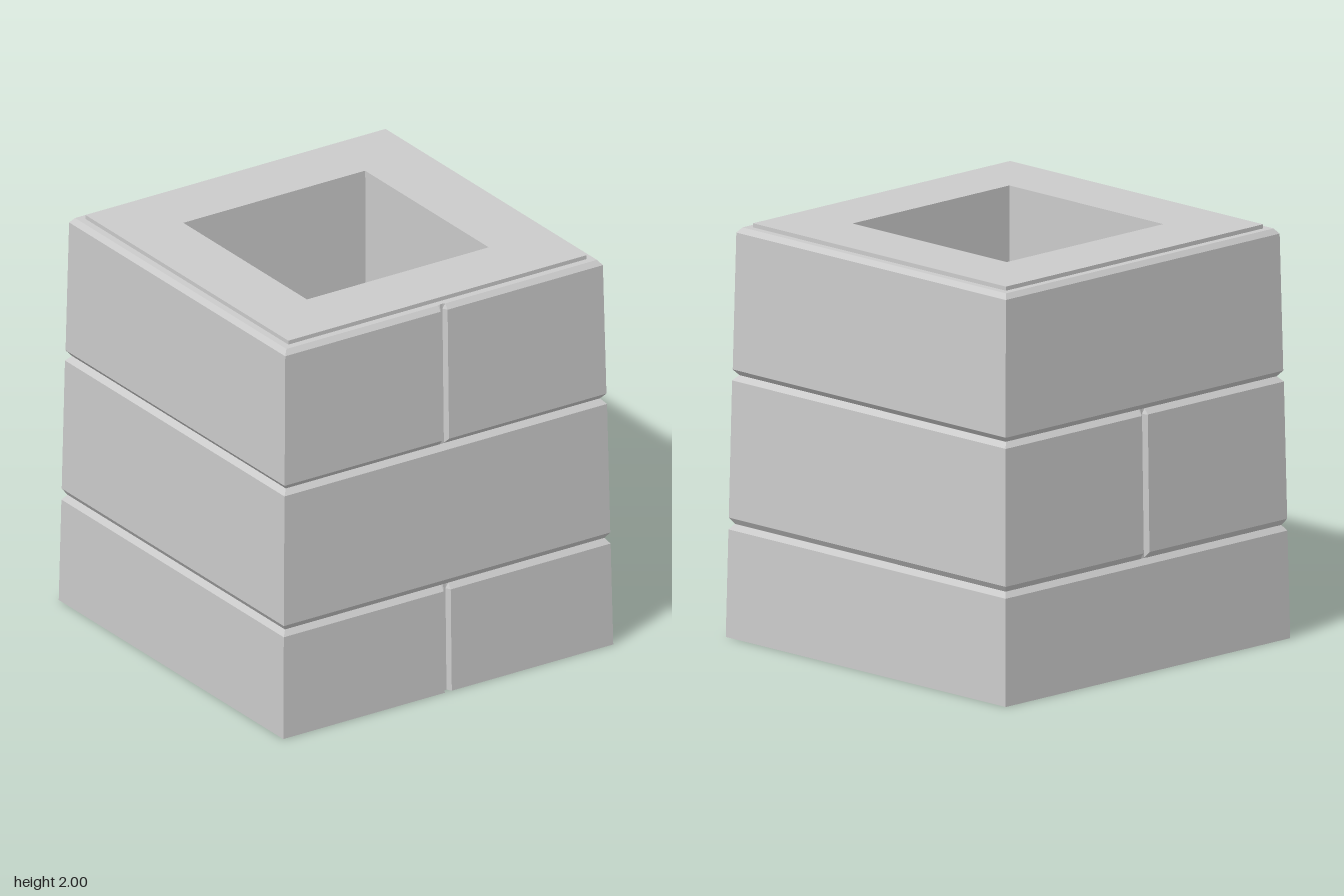
import * as THREE from 'three';

const material = new THREE.MeshStandardMaterial({ color: 0xcccccc, flatShading: true, side: THREE.DoubleSide });

// Half-width of the slightly tapering block faces at height y, and the joint's size
const face = (y) => 0.935 - 0.0175 * y;
const JOINT_DEPTH = 0.025;

// Square outline at one height; side 1 notches the front, -1 the back, 0 neither
function outline(y, h, side) {
  const d = Math.min(h, face(y) - JOINT_DEPTH);
  const notch = (s) => [[-0.02, h], [-0.007, d], [0.007, d], [0.02, h]].map(([x, z]) => [x * s, z * s]);
  return [
    [-h, h], ...(side === 1 ? notch(1) : []), [h, h],
    [h, -h], ...(side === -1 ? notch(-1) : []), [-h, -h],
  ].map(([x, z]) => [x, y, z]);
}

// Skin a stack of outlines given as [height, half-width]
function loft(name, levels, side = 0) {
  const rings = levels.map(([y, h]) => outline(y, h, side));
  const pos = [];
  for (let j = 0; j < rings.length - 1; j++) {
    const n = rings[j].length;
    for (let i = 0; i < n; i++) {
      const k = (i + 1) % n;
      const [a, b, c, d] = [rings[j][i], rings[j][k], rings[j + 1][k], rings[j + 1][i]];
      pos.push(...a, ...b, ...c, ...a, ...c, ...d);
    }
  }
  const geometry = new THREE.BufferGeometry();
  geometry.setAttribute('position', new THREE.Float32BufferAttribute(pos, 3));
  geometry.computeVertexNormals();
  const mesh = new THREE.Mesh(geometry, material);
  mesh.name = name;
  return mesh;
}

export function createModel() {
  const group = new THREE.Group();
  group.name = 'blockPillar';

  // Three hollow courses with bevelled edges; the vertical joint alternates sides
  group.add(
    loft('bottomCourse', [[0, 0.935], [0.52, 0.926], [0.547, 0.905]], 1),
    loft('middleCourse', [[0.547, 0.905], [0.577, 0.925], [1.24, 0.914], [1.266, 0.89]], -1),
    loft('topCourse', [[1.266, 0.89], [1.293, 0.912], [1.955, 0.9], [1.98, 0.88], [1.98, 0.845]], 1),
  );

  // Raised cap around the opening, running down into the square shaft
  group.add(
    loft('capPlate', [[1.98, 0.845], [2, 0.845], [2, 0.515]]),
    loft('shaft', [[2, 0.515], [1.965, 0.515], [1.965, 0.52], [0.93, 0.52]]),
  );

  // Floor of the shaft
  const floor = new THREE.Mesh(new THREE.PlaneGeometry(1.04, 1.04), material);
  floor.name = 'shaftFloor';
  floor.rotation.x = -Math.PI / 2;
  floor.position.y = 0.93;
  group.add(floor);

  return group;
}
